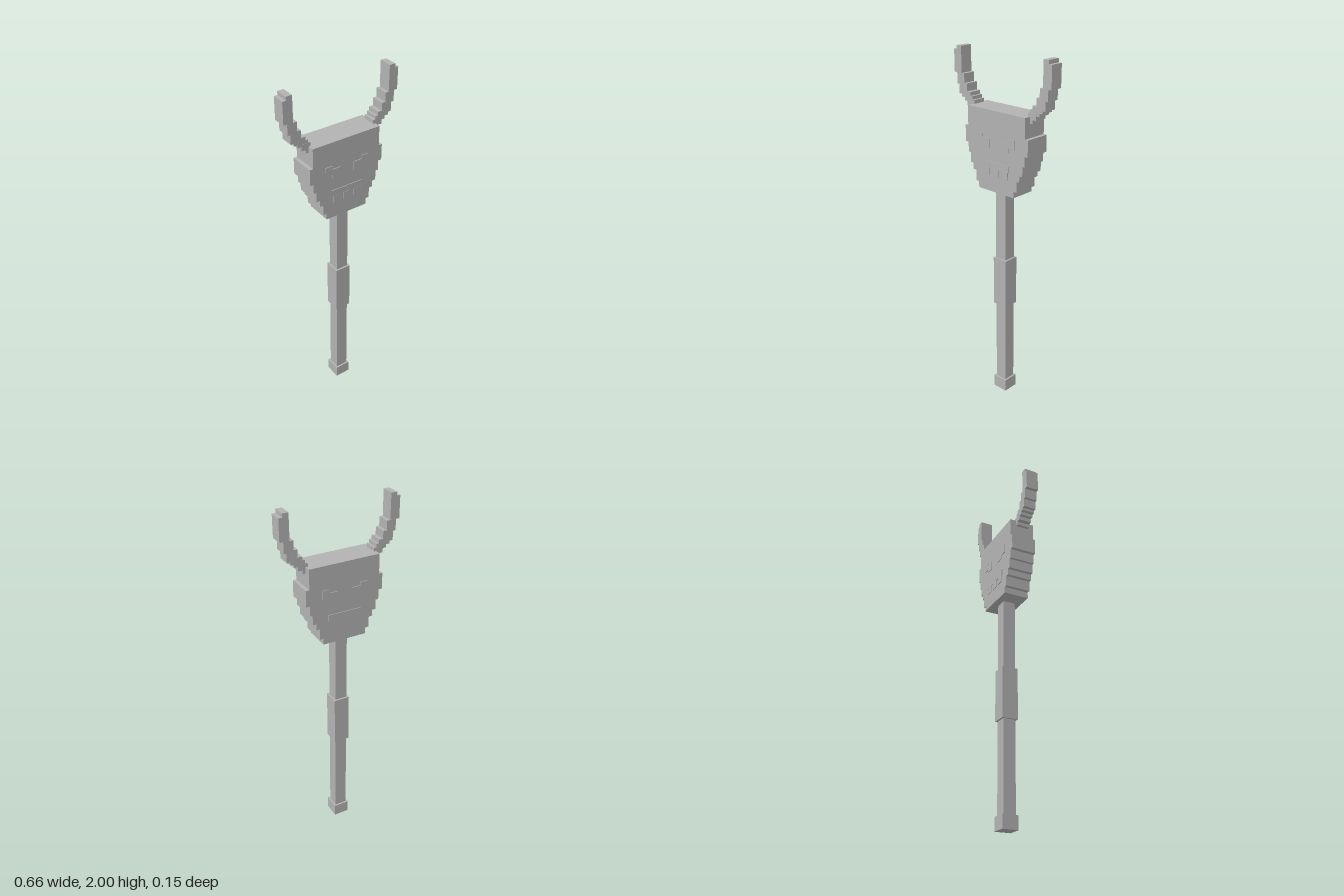
import * as THREE from 'three';

export function createModel() {
  const model = new THREE.Group();
  const grey = new THREE.MeshStandardMaterial({ color: 0xb2b2b2 });
  grey.name = 'plain grey';

  // Box given by its x and y limits and its z limits
  function block(parent, name, x0, x1, y0, y1, z0, z1) {
    const mesh = new THREE.Mesh(new THREE.BoxGeometry(x1 - x0, y1 - y0, z1 - z0), grey);
    mesh.position.set((x0 + x1) / 2, (y0 + y1) / 2, (z0 + z1) / 2);
    mesh.name = name;
    parent.add(mesh);
  }
  function group(name) {
    const g = new THREE.Group();
    g.name = name;
    model.add(g);
    return g;
  }

  // Square staff with a thicker grip and a foot cap
  const bar = (name, r, y0, y1) => block(model, name, -r, r, y0, y1, -r, r);
  bar('lowerShaft', 0.035, 0.07, 0.575);
  bar('grip', 0.045, 0.575, 0.865);
  bar('upperShaft', 0.035, 0.865, 1.27);
  bar('footCap', 0.045, 0, 0.073);

  // Head: one extruded stepped outline, from the chin up
  const steps = [
    [0.125, 1.27, 1.305], [0.145, 1.305, 1.365], [0.165, 1.365, 1.4],
    [0.185, 1.4, 1.455], [0.2, 1.455, 1.51], [0.22, 1.51, 1.6], [0.2, 1.6, 1.71],
  ];
  const right = steps.flatMap(([w, y0, y1]) => [[w, y0], [w, y1]]);
  const left = right.map(([x, y]) => [-x, y]).reverse();
  const outline = new THREE.Shape([...right, ...left].map(([x, y]) => new THREE.Vector2(x, y)));
  const headGeometry = new THREE.ExtrudeGeometry(outline, { depth: 0.145, bevelEnabled: false });
  headGeometry.translate(0, 0, -0.074);
  const head = new THREE.Mesh(headGeometry, grey);
  head.name = 'head';
  model.add(head);

  // Curved horns as overlapping blocks, from the tip down: inner x, outer x, low y, high y
  const hornBlocks = [
    [0.279, 0.3125, 1.98, 2.0], [0.279, 0.332, 1.86, 1.98], [0.26, 0.3125, 1.8, 1.86],
    [0.24, 0.298, 1.75, 1.81], [0.216, 0.28, 1.735, 1.768], [0.202, 0.26, 1.718, 1.748],
    [0.1875, 0.24, 1.695, 1.73], [0.1875, 0.216, 1.675, 1.71],
  ];
  for (const [name, side] of [['leftHorn', 1], ['rightHorn', -1]]) {
    const horn = group(name);
    hornBlocks.forEach(([a, b, y0, y1], i) => {
      const inset = (i % 2) * 0.0005; // keeps overlapping sides apart
      block(horn, 'hornBlock', side > 0 ? a : -b, side > 0 ? b : -a, y0, y1,
        -0.038 + inset, 0.035 - inset);
    });
  }

  // Same thin face on the front and the back
  for (const [name, z0, z1] of [['frontFace', 0.07, 0.0745], ['backFace', -0.0775, -0.073]]) {
    const face = group(name);
    for (const s of [1, -1]) {
      const plate = (part, a, b, y0, y1) =>
        block(face, part, Math.min(s * a, s * b), Math.max(s * a, s * b), y0, y1, z0, z1);
      plate('outerEye', 0.09, 0.13, 1.53, 1.58);
      plate('innerEye', 0.04, 0.09, 1.51, 1.56);
    }
    block(face, 'mouth', -0.095, 0.095, 1.4, 1.435, z0, z1);
    for (const x of [-0.065, 0, 0.065])
      block(face, 'tooth', x - 0.02, x + 0.02, 1.36, 1.4, z0, z1 + (z0 > 0 ? 0.001 : 0));
  }
  return model;
}
